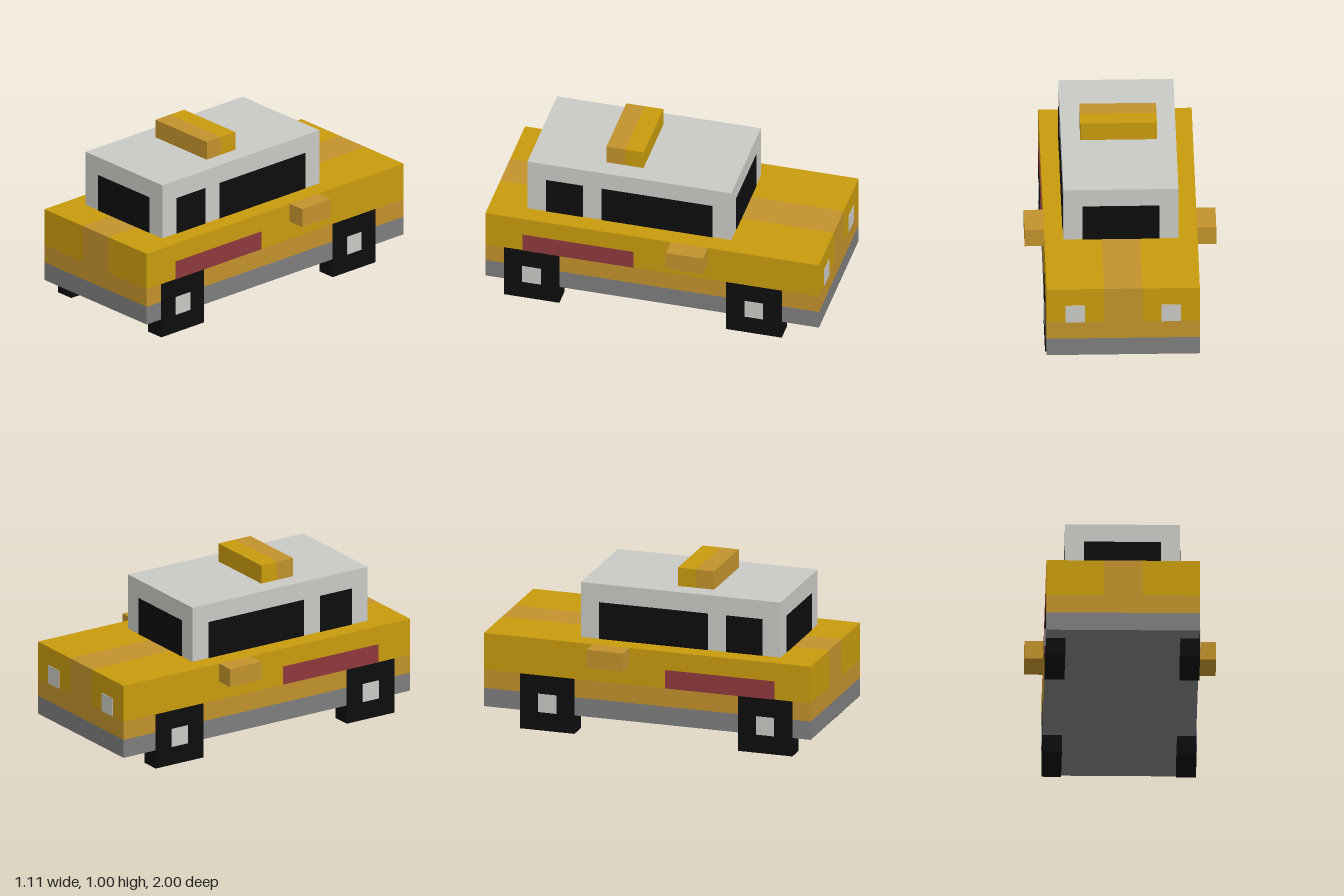
import * as THREE from 'three';

const U = 1 / 9;   // modelling unit: the car is 18 units long
const T = 0.03;    // thickness of painted details, in units

const paint = (name, color) => {
  const m = new THREE.MeshStandardMaterial({ color });
  m.name = name;
  return m;
};

export function createModel() {
  const car = new THREE.Group();
  car.name = 'car';
  const yellow = paint('yellow', 0xc89b0e);
  const tan = paint('tan', 0xc2922c);
  const grey = paint('grey', 0x7e7e7e);
  const white = paint('paleGrey', 0xc9c9c5);
  const black = paint('black', 0x0d0d0d);
  const red = paint('red', 0x8f383c);

  // Box between two corners, given in units
  const block = (name, material, [x0, x1], [y0, y1], [z0, z1]) => {
    const geo = new THREE.BoxGeometry((x1 - x0) * U, (y1 - y0) * U, (z1 - z0) * U);
    const mesh = new THREE.Mesh(geo, material);
    mesh.position.set((x0 + x1) / 2 * U, (y0 + y1) / 2 * U, (z0 + z1) / 2 * U);
    mesh.name = name;
    car.add(mesh);
  };
  // The same box on the left (+x) and right (-x)
  const pair = (name, material, [x0, x1], y, z) => {
    block(name + 'Left', material, [x0, x1], y, z);
    block(name + 'Right', material, [-x1, -x0], y, z);
  };

  // Body: sill, band and upper panels with a centre stripe
  block('sill', grey, [-4, 4], [1, 2], [-9, 9]);
  block('lowerBand', tan, [-4, 4], [2, 3], [-9, 9]);
  block('centreStripe', tan, [-1, 1], [3, 5], [-9, 9]);
  pair('upperBody', yellow, [1, 4], [3, 5], [-9, 9]);
  pair('sideStripe', red, [4, 4 + T], [3, 4], [1, 7]);
  pair('rearLight', white, [2, 3], [3, 4], [-9 - T, -9]);
  pair('mirror', tan, [4, 5], [4, 5], [-3, -1]);

  // Cabin and windows
  block('cabin', white, [-3, 3], [5, 8], [-4, 7]);
  block('frontWindow', black, [-2, 2], [5, 7], [7, 7 + T]);
  block('backWindow', black, [-2, 2], [5, 7], [-4 - T, -4]);
  pair('smallSideWindow', black, [3, 3 + T], [5, 7], [4, 6]);
  pair('largeSideWindow', black, [3, 3 + T], [5, 7], [-3, 3]);

  // Roof sign in two colours
  block('roofSignFront', tan, [-2, 2], [8, 9], [2, 3]);
  block('roofSignBack', yellow, [-2, 2], [8, 9], [1, 2]);

  // Square wheels with hubs
  for (const [end, z] of [['front', 5], ['back', -7]]) {
    pair(end + 'Wheel', black, [3, 4 + T], [0, 3], [z, z + 3]);
    pair(end + 'Hub', white, [4 + T, 4 + 2 * T], [1, 2], [z + 1, z + 2]);
  }
  return car;
}
